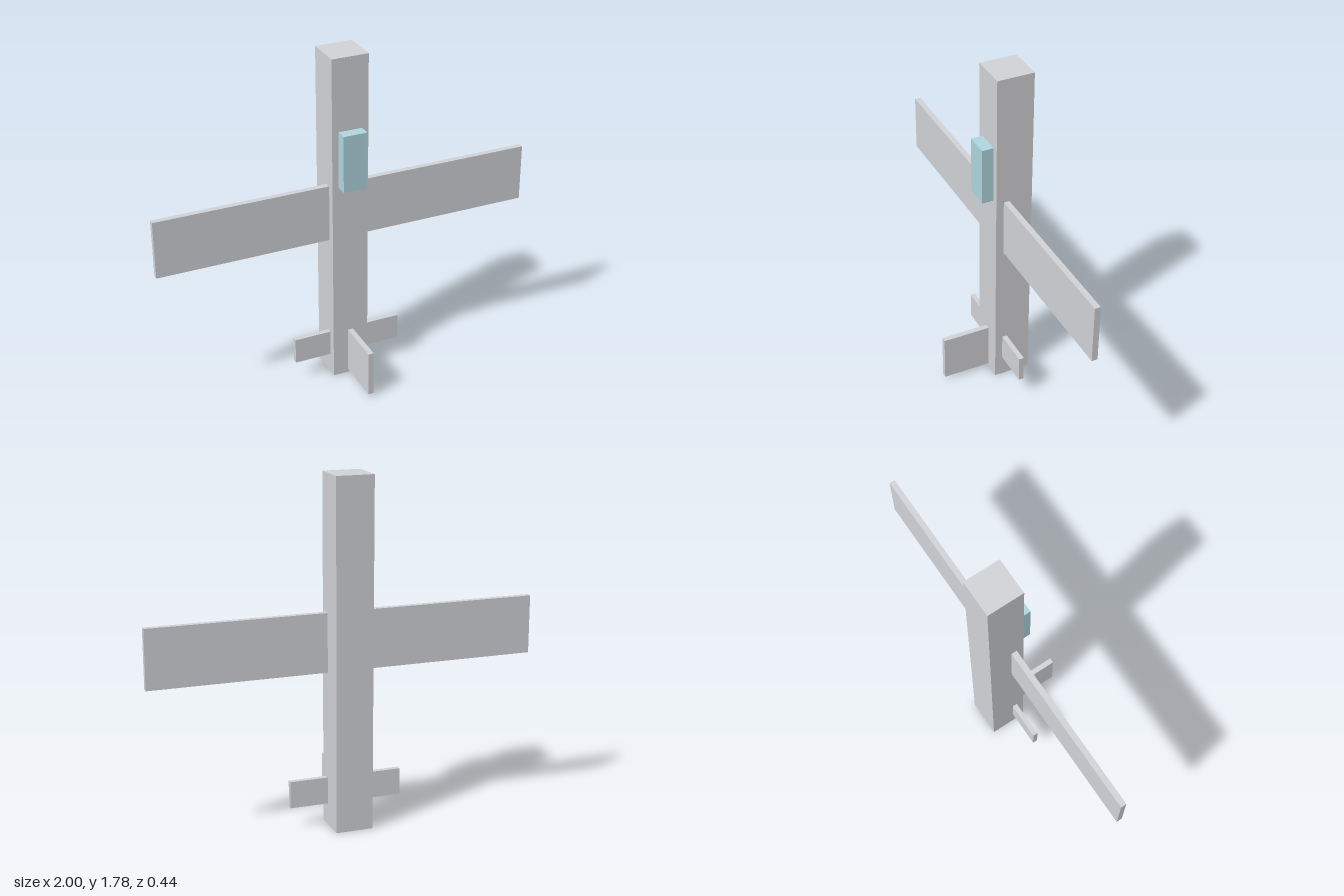
import * as THREE from 'three';

const grey = new THREE.MeshStandardMaterial({ name: 'bodyGrey', color: 0xd3d4d8 });
const blue = new THREE.MeshStandardMaterial({ name: 'canopyBlue', color: 0xb1d8e1 });

// Box given by its extents along each axis
function block(name, material, [x0, x1], [y0, y1], [z0, z1]) {
  const mesh = new THREE.Mesh(new THREE.BoxGeometry(x1 - x0, y1 - y0, z1 - z0), material);
  mesh.position.set((x0 + x1) / 2, (y0 + y1) / 2, (z0 + z1) / 2);
  mesh.name = name;
  return mesh;
}

export function createModel() {
  const plane = new THREE.Group();
  plane.name = 'airplane';

  // Fuselage standing on its tail, nose up
  plane.add(block('fuselage', grey, [-0.096, 0.096], [0, 1.778], [-0.222, -0.03]));

  // Main wing and tailplane pass through the fuselage
  plane.add(block('wing', grey, [-1, 1], [0.797, 1.098], [-0.1, -0.07]));
  plane.add(block('tailplane', grey, [-0.293, 0.293], [0.112, 0.25], [-0.096, -0.07]));

  // Upright fin and cockpit on the upper side
  plane.add(block('tailFin', grey, [-0.014, 0.014], [0.018, 0.263], [-0.03, 0.222]));
  plane.add(block('canopy', blue, [-0.0625, 0.0625], [1.1, 1.4], [-0.03, 0.03]));

  return plane;
}
